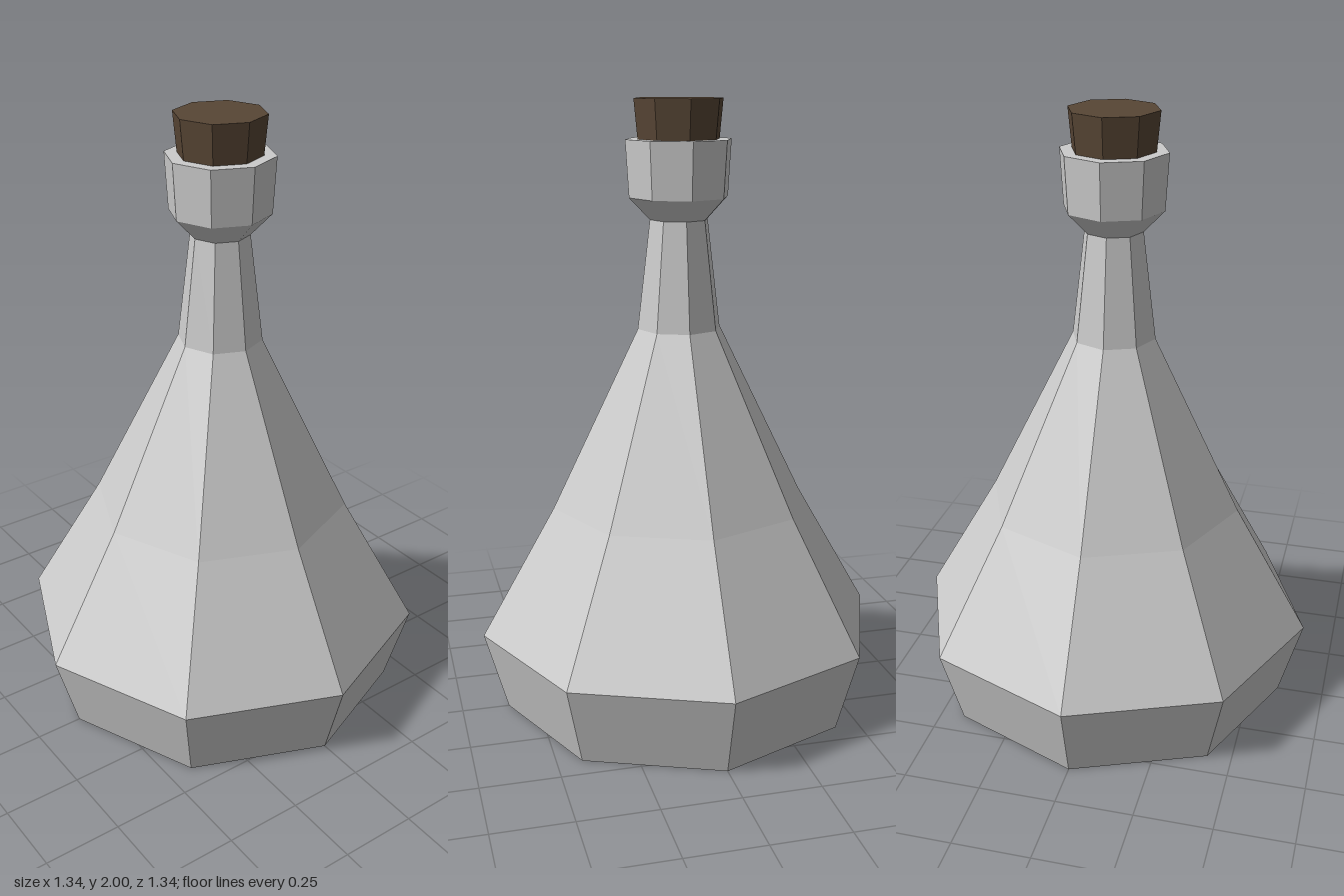
import * as THREE from 'three';

const SIDES = 8;

export function createModel() {
  const group = new THREE.Group();
  group.name = 'corkedFlask';

  // Octagonal glass body: base, sloping shoulders, neck, collar and rim
  const profile = [
    [0, 0], [0.595, 0], [0.67, 0.265], [0.425, 0.69], [0.137, 1.275],
    [0.095, 1.625], [0.162, 1.695], [0.173, 1.875], [0.132, 1.875],
  ].map(([r, y]) => new THREE.Vector2(r, y));
  const glass = new THREE.MeshStandardMaterial({ color: 0xcccccc, flatShading: true });
  const flask = new THREE.Mesh(new THREE.LatheGeometry(profile, SIDES), glass);
  flask.name = 'flaskBody';
  group.add(flask);

  // Tapered stopper seated in the rim
  const corkHeight = 0.125;
  const cork = new THREE.Mesh(
    new THREE.CylinderGeometry(0.145, 0.133, corkHeight, SIDES),
    new THREE.MeshStandardMaterial({ color: 0x584635, flatShading: true }),
  );
  cork.name = 'cork';
  cork.position.y = 2 - corkHeight / 2;
  group.add(cork);

  return group;
}
